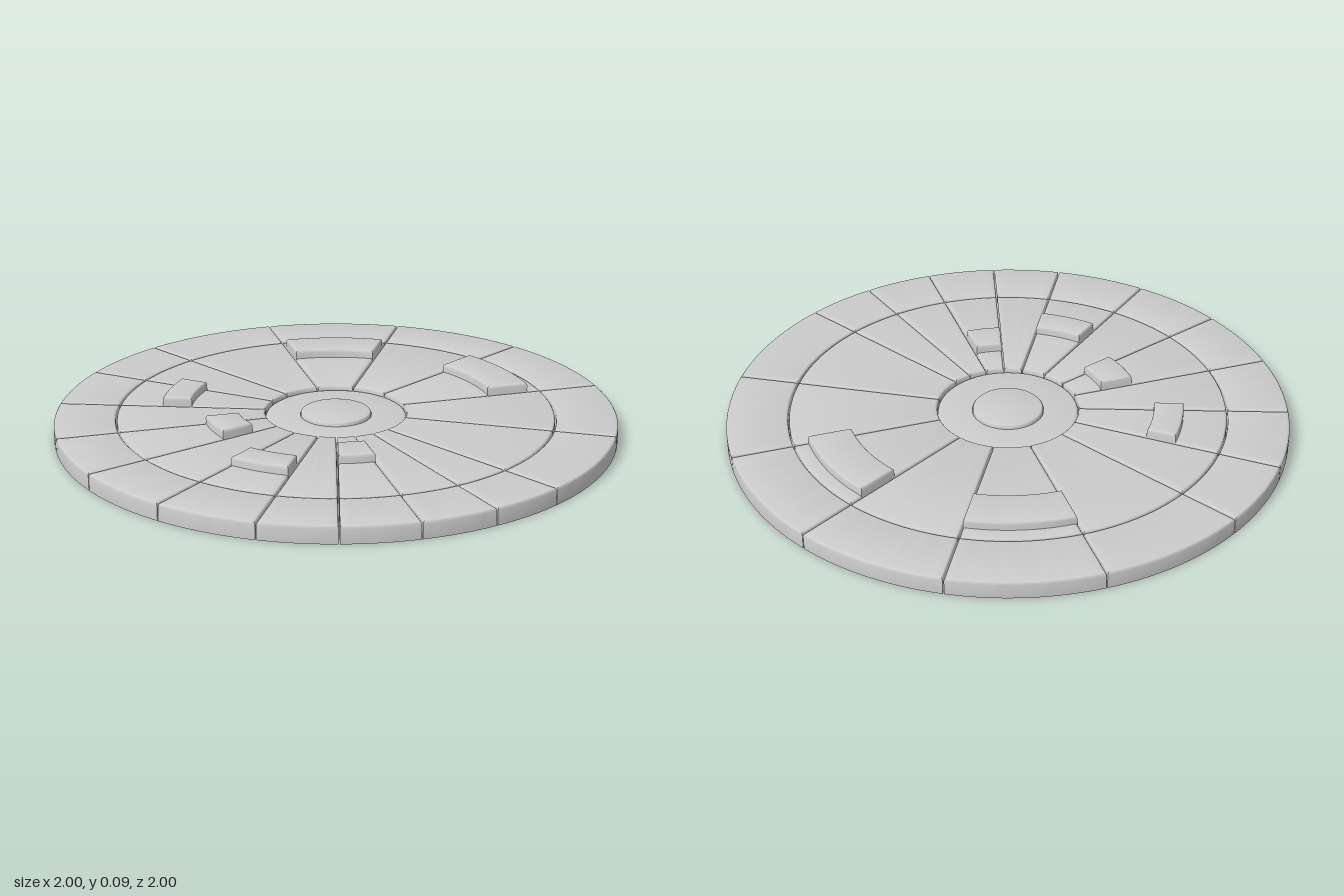
import * as THREE from 'three';
import { toCreasedNormals } from 'three/addons/utils/BufferGeometryUtils.js';

const GAP = 0.002;    // half the slit between neighbouring plates
const BEVEL = 0.009;  // rounded top edge
const HEIGHT = 0.062;
const BLOCK_HEIGHT = 0.093;
const CREASE = Math.PI / 5;
const RAD = Math.PI / 180;

const material = new THREE.MeshStandardMaterial({ color: 0xcccccc, side: THREE.DoubleSide });

// Quarter-round top edge as [inset, y] pairs, starting on the ground
function edgeProfile(height) {
  const rows = [[0, 0]];
  for (let i = 0; i <= 3; i++) {
    const t = (i / 3) * Math.PI / 2;
    rows.push([BEVEL * (1 - Math.cos(t)), height - BEVEL + BEVEL * Math.sin(t)]);
  }
  return rows;
}

// Hollow ring-sector shell, open below; bevelIn / bevelOut (0 or 1) round the curved edges
function sectorGeometry(r0, r1, deg0, deg1, height, bevelIn = 1, bevelOut = 1) {
  const n = Math.max(4, Math.ceil((deg1 - deg0) / 1.5));
  const point = (r, t, inset, y) => {
    const shift = Math.asin((GAP + inset) / r);
    const a = THREE.MathUtils.lerp(deg0 * RAD + shift, deg1 * RAD - shift, t);
    return [r * Math.cos(a), y, -r * Math.sin(a)];
  };
  // Closed outline per row: outer arc forward, inner arc back
  const loops = edgeProfile(height).map(([d, y]) => {
    const loop = [];
    for (let i = 0; i <= n; i++) loop.push(point(r1 - d * bevelOut, i / n, d, y));
    for (let i = n; i >= 0; i--) loop.push(point(r0 + d * bevelIn, i / n, d, y));
    return loop;
  });
  const pos = [];
  const quad = (a, b, c, d) => pos.push(...a, ...b, ...c, ...a, ...c, ...d);
  const size = 2 * n + 2;
  for (let k = 0; k < loops.length - 1; k++) {
    for (let i = 0; i < size; i++) {
      const j = (i + 1) % size;
      quad(loops[k][i], loops[k][j], loops[k + 1][j], loops[k + 1][i]);
    }
  }
  // Flat top between the two arcs
  const top = loops[loops.length - 1];
  for (let i = 0; i < n; i++) quad(top[size - 1 - i], top[i], top[i + 1], top[size - 2 - i]);
  const geometry = new THREE.BufferGeometry();
  geometry.setAttribute('position', new THREE.Float32BufferAttribute(pos, 3));
  return toCreasedNormals(geometry, CREASE);
}

// Hollow round shell; inner = 0 closes the top, otherwise it leaves a walled hole
function roundGeometry(inner, outer, height) {
  const pts = edgeProfile(height).map(([d, y]) => new THREE.Vector2(outer - d, y));
  pts.push(new THREE.Vector2(inner, height));
  if (inner > 0) pts.push(new THREE.Vector2(inner, 0));
  return toCreasedNormals(new THREE.LatheGeometry(pts, 96), CREASE);
}

export function createModel() {
  const model = new THREE.Group();
  model.name = 'segmentedDisc';
  const add = (name, geometry, parent = model) => {
    const mesh = new THREE.Mesh(geometry, material);
    mesh.name = name;
    parent.add(mesh);
  };

  // Hub: centre cap in a slightly lower collar
  add('hubCap', roundGeometry(0, 0.126, HEIGHT));
  add('hubCollar', roundGeometry(0.128, 0.251, HEIGHT - 0.014));

  // Sector borders in degrees, counter-clockwise seen from above, starting at +x
  const borders = [0, 30, 60, 90, 110, 130, 150, 170, 190, 210, 225, 240, 255, 270, 300, 330, 360];
  // Raised blocks: start angle -> [inner radius, outer radius]
  const blocks = {
    30: [0.575, 0.73], 110: [0.52, 0.625], 150: [0.355, 0.475],
    190: [0.51, 0.62], 225: [0.375, 0.5], 330: [0.575, 0.73],
  };
  const R0 = 0.253, R1 = 0.779, RIM = 0.783;

  for (let i = 0; i < borders.length - 1; i++) {
    const a = borders[i], b = borders[i + 1];
    const sector = new THREE.Group();
    sector.name = `sector${i + 1}`;
    model.add(sector);
    add('rimPlate', sectorGeometry(RIM, 1, a, b, HEIGHT), sector);
    const block = blocks[a];
    if (block) {
      add('innerWedge', sectorGeometry(R0, block[0], a, b, HEIGHT, 1, 0), sector);
      add('raisedBlock', sectorGeometry(block[0], block[1], a, b, BLOCK_HEIGHT), sector);
      add('outerWedge', sectorGeometry(block[1], R1, a, b, HEIGHT, 0, 1), sector);
    } else {
      add('wedge', sectorGeometry(R0, R1, a, b, HEIGHT), sector);
    }
  }
  return model;
}
